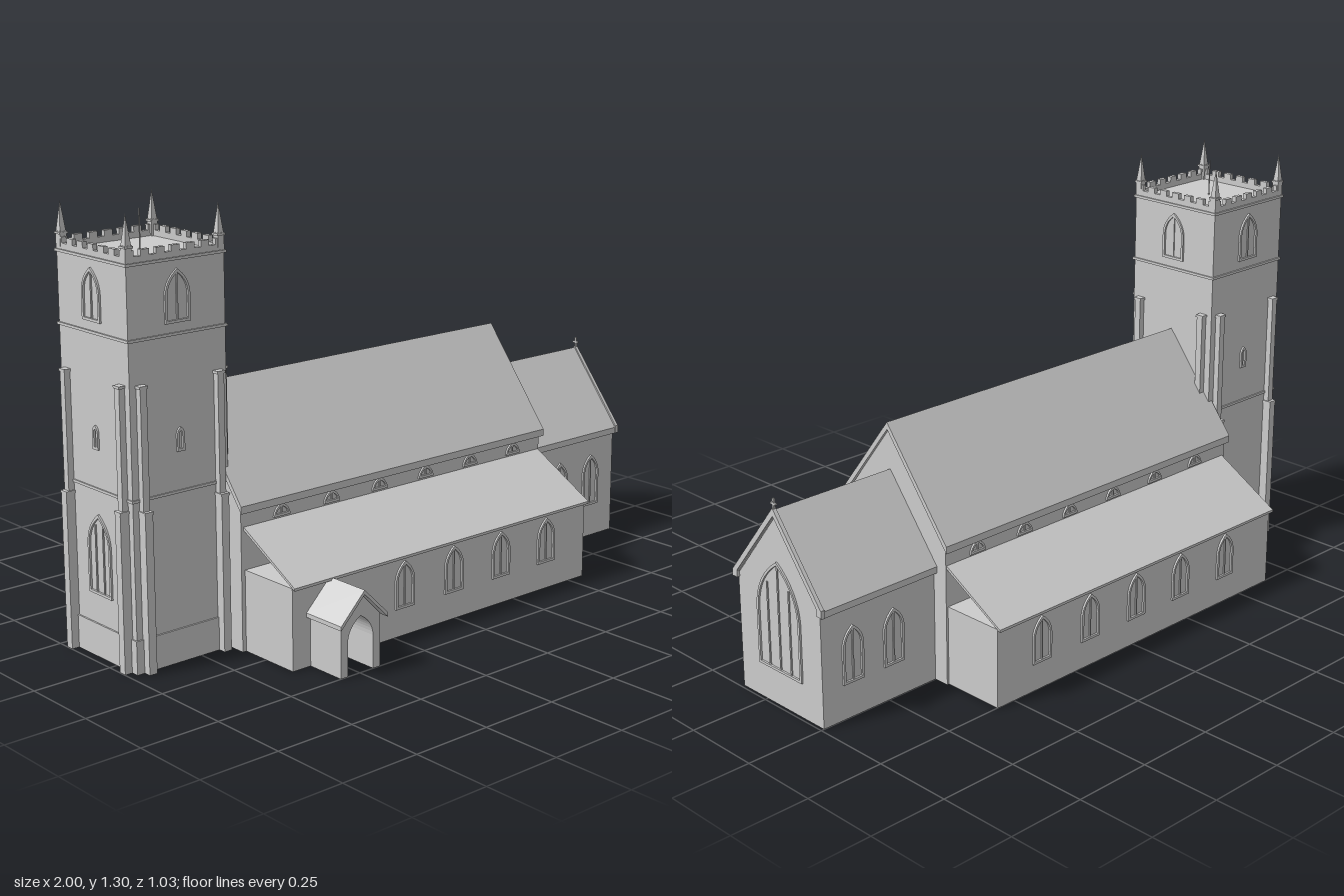
import * as THREE from 'three';

const ZC = -0.07;              // church axis
const TX = -0.805, TH = 0.165; // tower centre and half width
const stone = new THREE.MeshStandardMaterial({ color: 0xcccccc });
stone.name = 'paleStone';

function add(parent, name, geo, x = 0, y = 0, z = 0, ry = 0) {
  const m = new THREE.Mesh(geo, stone);
  m.name = name;
  m.position.set(x, y, z);
  m.rotation.y = ry;
  parent.add(m);
  return m;
}

// box given by its min and max corners
function box(parent, name, x0, x1, y0, y1, z0, z1) {
  return add(parent, name, new THREE.BoxGeometry(x1 - x0, y1 - y0, z1 - z0),
    (x0 + x1) / 2, (y0 + y1) / 2, (z0 + z1) / 2);
}

function extrude(points, depth) {
  const s = new THREE.Shape(points.map(p => new THREE.Vector2(p[0], p[1])));
  return new THREE.ExtrudeGeometry(s, { depth, bevelEnabled: false });
}

// gabled solid and its chevron roof, both extruded along local z
const gable = (w, wall, apex, depth) =>
  extrude([[-w, 0], [w, 0], [w, wall], [0, apex], [-w, wall]], depth);
const chevron = (w, eave, ridge, t, depth) =>
  extrude([[-w, eave - t], [0, ridge - t], [w, eave - t], [w, eave], [0, ridge], [-w, eave]], depth);

// pointed arch outline standing on v = y0
function arch(path, w, h, y0 = 0) {
  const a = w / 2, s = Math.max(y0, h - w * 0.85);
  path.moveTo(-a, y0);
  path.lineTo(a, y0);
  path.lineTo(a, s);
  path.quadraticCurveTo(a * 0.95, s + (h - s) * 0.6, 0, h);
  path.quadraticCurveTo(-a * 0.95, s + (h - s) * 0.6, -a, s);
  path.lineTo(-a, y0);
  return path;
}

// thin raised window surround with upright bars
function archWindow(parent, name, w, h, bars, x, y, z, ry) {
  const g = new THREE.Group();
  g.name = name;
  const t = 0.008, d = 0.006;
  const s = arch(new THREE.Shape(), w, h);
  s.holes.push(arch(new THREE.Path(), w - 2 * t, h - t * 1.3, t));
  add(g, 'windowFrame', new THREE.ExtrudeGeometry(s, { depth: d, bevelEnabled: false, curveSegments: 8 }));
  for (let i = 1; i <= bars; i++) {
    const u = -w / 2 + (w * i) / (bars + 1);
    const top = h - Math.abs(u) * 1.4 - t;
    box(g, 'mullion', u - 0.0025, u + 0.0025, t / 2, top, 0, d * 0.6);
  }
  g.position.set(x, y, z);
  g.rotation.y = ry;
  parent.add(g);
}

function buildTower(root) {
  const g = new THREE.Group();
  g.name = 'tower';
  root.add(g);
  const slab = (name, h, y0, y1) => box(g, name, TX - h, TX + h, y0, y1, ZC - h, ZC + h);
  slab('towerBody', TH, 0, 1.165);
  slab('plinth', TH + 0.005, 0, 0.1);
  slab('lowerStringCourse', TH + 0.004, 0.5, 0.508);
  slab('upperStringCourse', TH + 0.005, 0.95, 0.958);
  slab('parapetString', TH + 0.005, 1.158, 1.166);
  const pole = new THREE.CylinderGeometry(0.002, 0.002, 0.12, 6);
  add(g, 'flagpole', pole, TX, 1.22, ZC);

  for (let k = 0; k < 4; k++) {
    // one tower face, built facing local +z
    const f = new THREE.Group();
    f.name = 'towerFace';
    f.position.set(TX, 0, ZC);
    f.rotation.y = k * Math.PI / 2;
    g.add(f);
    box(f, 'parapet', -TH, TH, 1.165, 1.183, TH - 0.014, TH);
    const n = 7, pitch = 2 * TH / (n - 0.45);
    for (let i = 0; i < n; i++) {
      const u = -TH + i * pitch;
      box(f, 'merlon', u, u + pitch * 0.55, 1.183, 1.2, TH - 0.014, TH);
    }
    for (const u of [-0.132, 0.132]) {
      box(f, 'lowerButtress', u - 0.013, u + 0.013, 0, 0.47, TH, TH + 0.029);
      box(f, 'lowerButtressCap', u - 0.015, u + 0.015, 0.467, 0.475, TH, TH + 0.03);
      box(f, 'upperButtress', u - 0.011, u + 0.011, 0.47, 0.825, TH, TH + 0.019);
      box(f, 'upperButtressCap', u - 0.014, u + 0.014, 0.822, 0.83, TH, TH + 0.021);
    }
    archWindow(f, 'belfryWindow', 0.085, 0.15, 1, 0, 0.985, TH, 0);
    archWindow(f, 'slitWindow', 0.026, 0.07, 0, 0, 0.62, TH, 0);
    if (k === 3) archWindow(f, 'westWindow', 0.11, 0.24, 2, 0, 0.19, TH, 0);

    // corner pinnacle
    const p = TH - 0.01;
    box(f, 'pinnacleBase', p - 0.011, p + 0.011, 1.165, 1.215, p - 0.011, p + 0.011);
    box(f, 'pinnacleCollar', p - 0.014, p + 0.014, 1.207, 1.213, p - 0.014, p + 0.014);
    const spire = new THREE.ConeGeometry(0.015, 0.09, 4).toNonIndexed();
    spire.computeVertexNormals();
    add(f, 'pinnacleSpire', spire, p, 1.255, p, Math.PI / 4);
  }
}

function buildNave(root) {
  const g = new THREE.Group();
  g.name = 'nave';
  root.add(g);
  const R = Math.PI / 2;
  add(g, 'naveWalls', gable(0.23, 0.433, 0.73, 1.22), -0.648, 0, ZC, R);
  add(g, 'naveRoof', chevron(0.243, 0.442, 0.752, 0.022, 1.237), -0.656, 0, ZC, R);

  for (const s of [1, -1]) {
    const wall = ZC + s * 0.23, outer = s > 0 ? 0.37 : -0.502;
    box(g, 'aisleWalls', -0.635, 0.565, 0, 0.247, Math.min(wall, outer), Math.max(wall, outer));
    // lean-to roof as a thin slab; local x is -z after the turn
    const a = -wall, b = -(outer + s * 0.014);
    const pts = [[a, 0.366], [b, 0.243], [b, 0.251], [a, 0.376]];
    add(g, 'aisleRoof', extrude(s > 0 ? pts : pts.reverse(), 1.207), -0.638, 0, 0, R);
    const ry = s > 0 ? 0 : Math.PI;
    for (const x of s > 0 ? [0.39, 0.19, -0.01, -0.21] : [0.39, 0.19, -0.01, -0.21, -0.42])
      archWindow(g, 'aisleWindow', 0.075, 0.145, 1, x, 0.087, outer, ry);
    for (let i = 0; i < 6; i++)
      archWindow(g, 'clerestoryWindow', 0.06, 0.04, 1, -0.5 + i * 0.19, 0.382, wall, ry);
  }
}

function buildChancel(root) {
  const g = new THREE.Group();
  g.name = 'chancel';
  root.add(g);
  const R = Math.PI / 2;
  add(g, 'chancelWalls', gable(0.18, 0.357, 0.585, 0.43), 0.56, 0, ZC, R);
  add(g, 'chancelRoof', chevron(0.193, 0.363, 0.607, 0.02, 0.425), 0.57, 0, ZC, R);
  add(g, 'gableCoping', chevron(0.196, 0.368, 0.613, 0.024, 0.012), 0.987, 0, ZC, R);
  for (const s of [1, -1]) {
    for (const x of [0.73, 0.88])
      archWindow(g, 'chancelWindow', 0.075, 0.175, 1, x, 0.11, ZC + s * 0.18, s > 0 ? 0 : Math.PI);
    const k = ZC + s * 0.186;
    box(g, 'kneeler', 0.986, 0.999, 0.348, 0.369, k - 0.011, k + 0.011);
  }
  archWindow(g, 'eastWindow', 0.19, 0.34, 3, 0.99, 0.11, ZC, R);
  box(g, 'crossUpright', 0.99, 0.996, 0.605, 0.641, ZC - 0.003, ZC + 0.003);
  box(g, 'crossArm', 0.99, 0.996, 0.622, 0.628, ZC - 0.011, ZC + 0.011);
}

function buildPorch(root) {
  const g = new THREE.Group();
  g.name = 'porch';
  g.position.set(-0.497, 0, 0.37);
  root.add(g);
  // open-fronted gabled passage with a pointed opening
  const w = 0.073, s = new THREE.Shape();
  s.moveTo(-w, 0);
  s.lineTo(-0.047, 0);
  s.lineTo(-0.047, 0.1);
  s.quadraticCurveTo(-0.045, 0.145, 0, 0.17);
  s.quadraticCurveTo(0.045, 0.145, 0.047, 0.1);
  s.lineTo(0.047, 0);
  s.lineTo(w, 0);
  s.lineTo(w, 0.16);
  s.lineTo(0, 0.235);
  s.lineTo(-w, 0.16);
  add(g, 'porchWalls', new THREE.ExtrudeGeometry(s, { depth: 0.13, bevelEnabled: false, curveSegments: 8 }));
  add(g, 'porchRoof', chevron(0.087, 0.163, 0.25, 0.013, 0.148));
  archWindow(g, 'innerDoor', 0.09, 0.14, 1, 0, 0.03, 0, 0);
}

export function createModel() {
  const root = new THREE.Group();
  root.name = 'church';
  buildTower(root);
  buildNave(root);
  buildChancel(root);
  buildPorch(root);
  return root;
}
